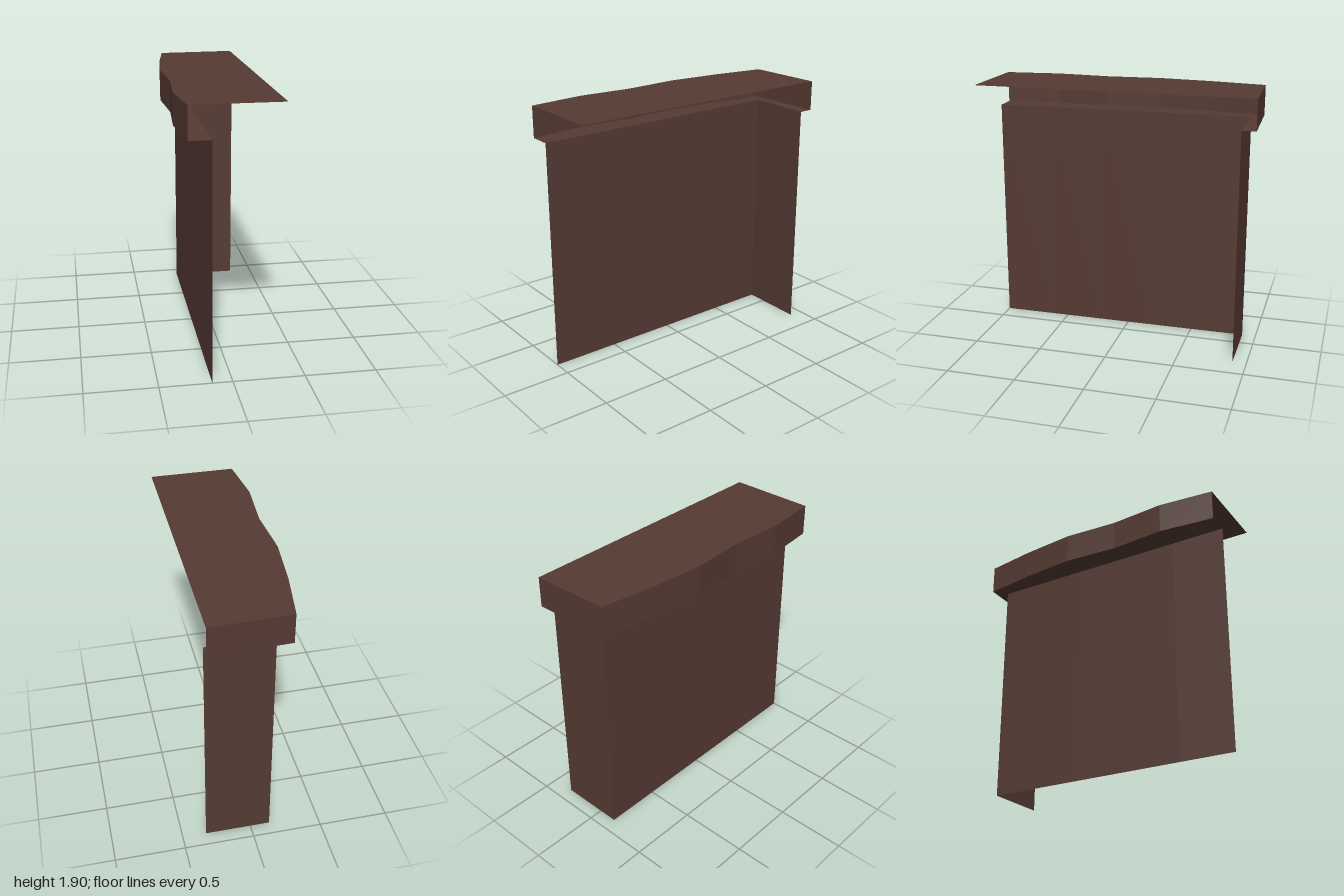
import * as THREE from 'three';

// Outline of the mantel's back and uneven side edge, as [x, z]
const outline = [
  [0.33, -1], [-0.23, -0.98], [-0.29, -0.6], [-0.33, -0.2],
  [-0.305, 0.2], [-0.335, 0.6], [-0.295, 1],
];
const TOP = 1.9;
const RIGHT = 0.33;
const WALL_X = -0.14;
const WALL_Z = -0.9;

// Height of the mantel's underside, dropping slightly toward the front
const underside = (z) => 1.68 - 0.004 * z;

// Flat-faced surface spanning two matching rows of [x, y, z] points
function span(a, b) {
  const points = [];
  for (let i = 0; i < a.length - 1; i++) {
    points.push(...a[i], ...b[i], ...a[i + 1], ...a[i + 1], ...b[i], ...b[i + 1]);
  }
  const geometry = new THREE.BufferGeometry();
  geometry.setAttribute('position', new THREE.Float32BufferAttribute(points, 3));
  geometry.computeVertexNormals();
  return geometry;
}

export function createModel() {
  const model = new THREE.Group();
  model.name = 'mantelWall';
  const brown = new THREE.MeshStandardMaterial({ color: 0x553a33, side: THREE.DoubleSide });
  brown.name = 'darkBrown';

  const add = (name, a, b) => {
    const mesh = new THREE.Mesh(span(a, b), brown);
    mesh.name = name;
    model.add(mesh);
  };

  // Mantel: flat top, hanging rim and the ledge returning to the wall
  const rimTop = outline.map(([x, z]) => [x, TOP, z]);
  const rimBottom = outline.map(([x, z]) => [x, underside(z), z]);
  const ledgeInner = outline.map(([x, z], i) => {
    const wz = Math.max(z, WALL_Z);
    return [i === 0 ? RIGHT : WALL_X, underside(wz), wz];
  });
  const side = rimTop.slice(1);
  const seam = side.map(([, y, z], i) => [RIGHT, y, i === 0 ? -1 : z]);

  add('mantelTop', seam, side);
  add('mantelRim', rimTop, rimBottom);
  add('mantelLedge', rimBottom, ledgeInner);

  // Back and side walls, open toward the front and right
  const wallBottom = ledgeInner.map(([x, , z]) => [x, 0, z]);
  add('backWall', ledgeInner.slice(0, 2), wallBottom.slice(0, 2));
  add('sideWall', ledgeInner.slice(1), wallBottom.slice(1));

  return model;
}
